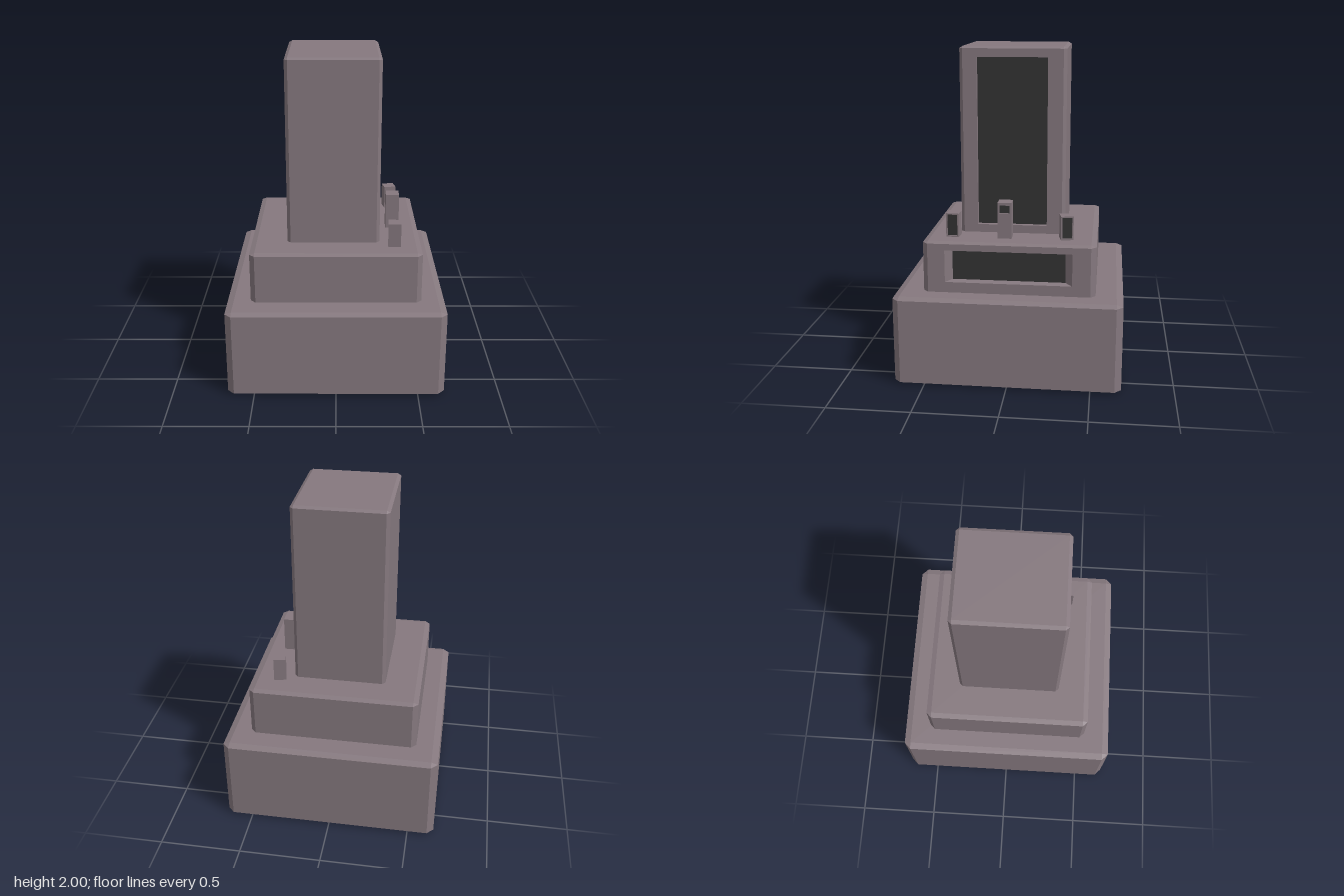
import * as THREE from 'three';

const bodyMat = new THREE.MeshStandardMaterial({ color: 0x85787e, flatShading: true });
const glassMat = new THREE.MeshStandardMaterial({ color: 0x333333, flatShading: true });

// Eight-point section at x, counter-clockwise seen from +x; iy and iz cut its corners.
function ring(x, [y0, y1], [z0, z1], iy = 0, iz = 0) {
  return [
    [y1, z1 - iz], [y1 - iy, z1], [y0 + iy, z1], [y0, z1 - iz],
    [y0, z0 + iz], [y0 + iy, z0], [y1 - iy, z0], [y1, z0 + iz],
  ].map(([y, z]) => new THREE.Vector3(x, y, z));
}

// Skins a row of sections, leaving out triangles that collapse at doubled corners.
function loft(rings, capStart, capEnd) {
  const pts = [];
  const tri = (a, b, c) => {
    const area = b.clone().sub(a).cross(c.clone().sub(a)).length();
    if (area > 1e-9) pts.push(a, b, c);
  };
  for (let k = 0; k < rings.length - 1; k++) {
    const a = rings[k], b = rings[k + 1];
    for (let i = 0; i < 8; i++) {
      const j = (i + 1) % 8;
      tri(a[i], a[j], b[j]);
      tri(a[i], b[j], b[i]);
    }
  }
  const first = rings[0], last = rings[rings.length - 1];
  for (let i = 1; i < 7; i++) {
    if (capStart) tri(first[0], first[i + 1], first[i]);
    if (capEnd) tri(last[0], last[i], last[i + 1]);
  }
  const geo = new THREE.BufferGeometry().setFromPoints(pts);
  geo.computeVertexNormals();
  return geo;
}

// Chamfered block, optionally with a recessed dark panel in its +x face.
function block(name, { x, y, z, bevel = 0, bevelY = 0, opening }) {
  const group = new THREE.Group();
  group.name = name;
  const inset = ([a, b], d) => [a + d, b - d];
  const capY = inset(y, bevelY), capZ = inset(z, bevel);
  const rings = [
    ring(x[0], capY, capZ),
    ring(x[0] + bevel, y, z, bevelY, bevel),
    ring(x[1] - bevel, y, z, bevelY, bevel),
    ring(x[1], capY, capZ),
  ];
  if (opening) {
    const { depth, taperY = 0, taperZ = 0 } = opening;
    const inner = ring(x[1] - depth, inset(opening.y, taperY), inset(opening.z, taperZ));
    rings.push(ring(x[1], opening.y, opening.z), inner);
    const panel = new THREE.Mesh(loft([inner], false, true), glassMat);
    panel.name = name + 'Panel';
    group.add(panel);
  }
  const body = new THREE.Mesh(loft(rings, true, !opening), bodyMat);
  body.name = name + 'Body';
  group.add(body);
  return group;
}

export function createModel() {
  const model = new THREE.Group();
  model.name = 'steppedTower';

  // Three stacked tiers
  model.add(block('base', {
    x: [-0.663, 0.663], y: [0, 0.55], z: [-0.685, 0.685], bevel: 0.04, bevelY: 0.014,
  }));
  model.add(block('middleTier', {
    x: [-0.52, 0.52], y: [0.53, 0.863], z: [-0.52, 0.52], bevel: 0.031, bevelY: 0.01,
    opening: { y: [0.615, 0.813], z: [-0.38, 0.385], depth: 0.04, taperY: 0.008, taperZ: 0.042 },
  }));
  model.add(block('tower', {
    x: [-0.3, 0.268], y: [0.84, 2], z: [-0.32, 0.323], bevel: 0.02, bevelY: 0.012,
    opening: { y: [0.913, 1.938], z: [-0.208, 0.218], depth: 0.03 },
  }));

  // Three small posts on the ledge, each with a panel facing outwards
  const posts = [
    { name: 'centrePost', top: 1.085, z: 0.037, turn: 0, half: 0.042, panelY: [1.02, 1.068], panelHalf: 0.032 },
    { name: 'frontPost', top: 1.01, z: 0.354, turn: -0.07, half: 0.039, panelY: [0.872, 1.002], panelHalf: 0.031 },
    { name: 'backPost', top: 1.01, z: -0.334, turn: 0.2, half: 0.038, panelY: [0.872, 1.002], panelHalf: 0.03 },
  ];
  for (const p of posts) {
    const post = block(p.name, {
      x: [-p.half, p.half], y: [0.85, p.top], z: [-p.half, p.half],
      opening: { y: p.panelY, z: [-p.panelHalf, p.panelHalf], depth: 0.008 },
    });
    post.position.set(0.358, 0, p.z);
    post.rotation.y = p.turn;
    model.add(post);
  }
  return model;
}
